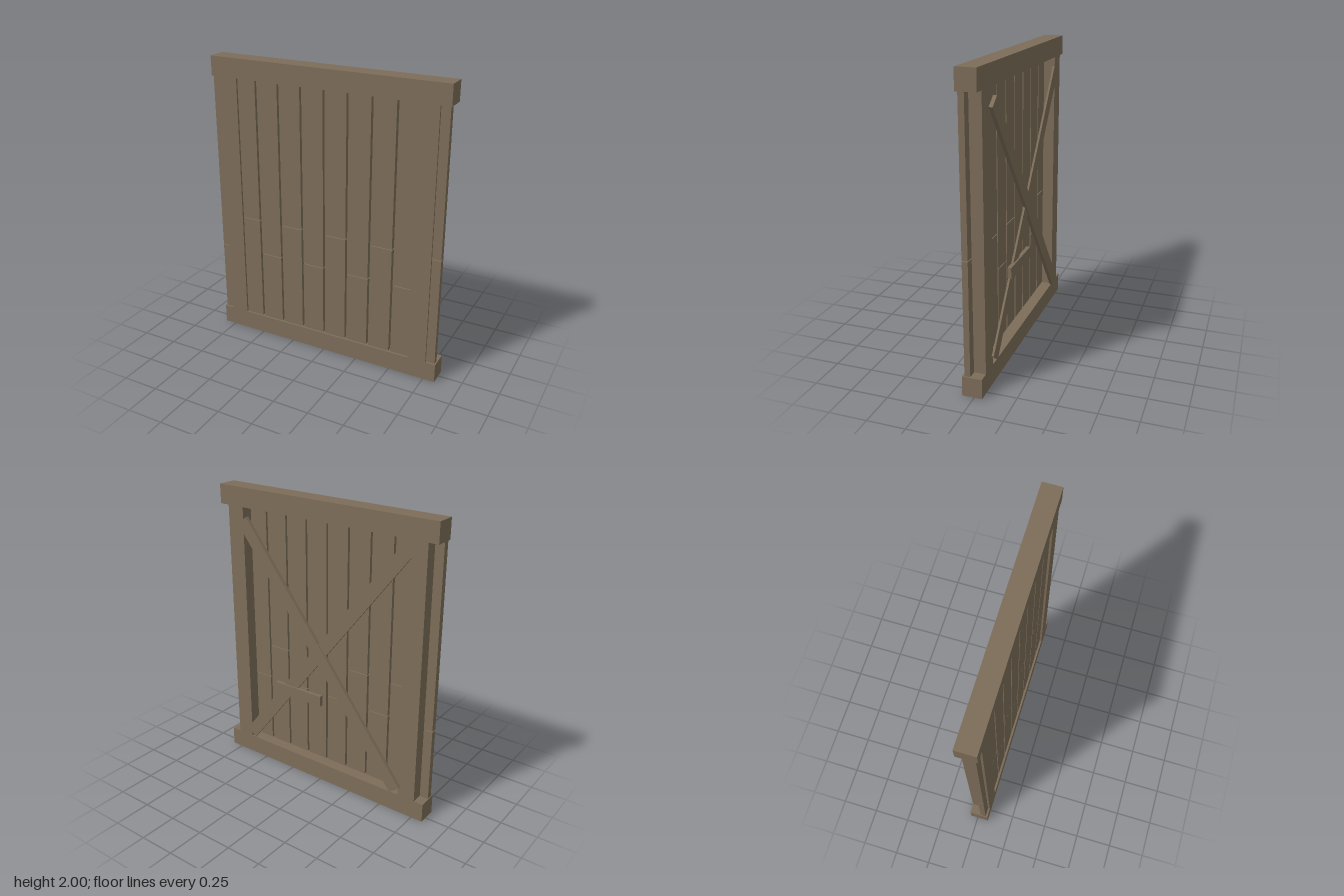
import * as THREE from 'three';

export function createModel() {
  const model = new THREE.Group();
  model.name = 'plankGate';
  const wood = new THREE.MeshStandardMaterial({ color: 0x7d6d59 });
  wood.name = 'weathered wood';

  // Box given by its extents on each axis
  function board(name, x0, x1, y0, y1, z0, z1, parent = model) {
    const mesh = new THREE.Mesh(new THREE.BoxGeometry(x1 - x0, y1 - y0, z1 - z0), wood);
    mesh.position.set((x0 + x1) / 2, (y0 + y1) / 2, (z0 + z1) / 2);
    mesh.name = name;
    parent.add(mesh);
    return mesh;
  }

  // Frame: two long rails and two uprights, flush front and back
  const back = -0.052, front = 0.078, low = 0.132, high = 1.868;
  board('bottomRail', -0.83, 0.83, 0, low, back, front);
  board('topRail', -0.83, 0.83, high, 2, back, front);
  board('rightUpright', -0.764, -0.638, low, high, back, front);
  board('leftUpright', 0.635, 0.761, low, high, back, front);

  // Ten planks with narrow gaps, each sawn in two at alternating heights
  const planks = new THREE.Group();
  planks.name = 'planks';
  model.add(planks);
  const pitch = 0.166, half = 0.076;
  for (let i = 0; i < 10; i++) {
    const x = (i - 4.5) * pitch - 0.002;
    const joint = i % 2 ? 0.885 : 0.635;
    board('lowerPlank', x - half, x + half, low, joint - 0.003, 0.026, 0.064, planks);
    board('upperPlank', x - half, x + half, joint + 0.003, high, 0.026, 0.064, planks);
  }

  // Crossed diagonal braces on the back
  const tilt = Math.atan(1.29);
  for (const [name, side, depth] of [['risingBrace', 1, 0.024], ['fallingBrace', -1, 0.014]]) {
    const brace = board(name, -1.02, 1.02, 0.935, 1.025, back - depth, back);
    brace.rotation.z = side * tilt;
  }

  // Short crosspiece over the lower brace
  board('crosspiece', -0.02, 0.367, 0.6, 0.675, -0.078, back);

  return model;
}
